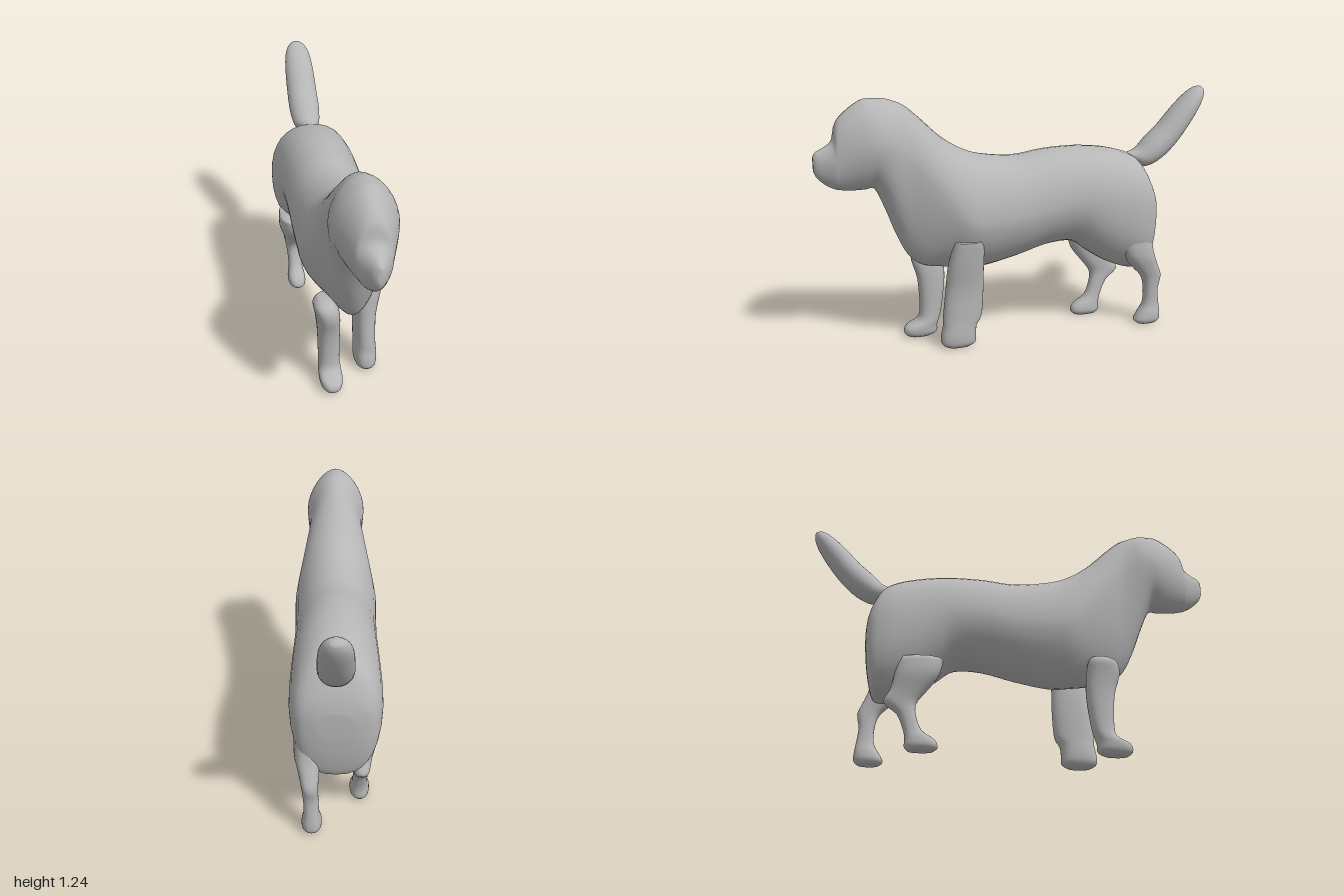
import * as THREE from 'three';

const SIDES = 32;
const coat = new THREE.MeshStandardMaterial({ color: 0xb6b6b6 });
coat.name = 'grey coat';

// Catmull-Rom refinement of a list of stations (arrays of numbers)
function refine(stations, steps) {
  const out = [], last = stations.length - 1;
  const at = (i) => stations[Math.min(last, Math.max(0, i))];
  for (let i = 0; i < last; i++) {
    for (let k = 0; k < steps; k++) {
      const t = k / steps;
      out.push(at(i).map((b, n) => {
        const a = at(i - 1)[n], c = at(i + 1)[n], d = at(i + 2)[n];
        return b + 0.5 * t * (c - a + t * (2 * a - 5 * b + 4 * c - d + t * (3 * (b - c) + d - a)));
      }));
    }
  }
  out.push(stations[last]);
  return out;
}

const power = (v, p) => Math.sign(v) * Math.pow(Math.abs(v), p);

// Skin a list of stations; ringPoint(station, sin, cos) gives a point of its ring
function loft(name, stations, ringPoint) {
  const pos = [], index = [];
  for (const s of stations) {
    for (let j = 0; j < SIDES; j++) {
      const a = (j / SIDES) * Math.PI * 2;
      pos.push(...ringPoint(s, Math.sin(a), Math.cos(a)));
    }
  }
  const rings = stations.length;
  for (let i = 0; i < rings - 1; i++) {
    for (let j = 0; j < SIDES; j++) {
      const a = i * SIDES + j, b = i * SIDES + (j + 1) % SIDES;
      index.push(a, b, a + SIDES, b, b + SIDES, a + SIDES);
    }
  }
  // end caps
  for (const first of [0, (rings - 1) * SIDES]) {
    const c = [0, 0, 0], hub = pos.length / 3;
    for (let j = 0; j < SIDES; j++) for (let n = 0; n < 3; n++) c[n] += pos[(first + j) * 3 + n] / SIDES;
    pos.push(...c);
    for (let j = 0; j < SIDES; j++) {
      const a = first + j, b = first + (j + 1) % SIDES;
      if (first === 0) index.push(hub, b, a);
      else index.push(hub, a, b);
    }
  }
  const g = new THREE.BufferGeometry();
  g.setAttribute('position', new THREE.Float32BufferAttribute(pos, 3));
  g.setIndex(index);
  g.computeVertexNormals();
  const mesh = new THREE.Mesh(g, coat);
  mesh.name = name;
  return mesh;
}

// Stations: z, top, widest height, bottom, half width, upper and lower power
// (a power above 1 pinches the flank into a ridge, below 1 makes it boxy)
const bodyRing = ([z, top, mid, bottom, w, pu, pl], s, c) => {
  const p = c > 0 ? pu : pl;
  const y = c > 0 ? mid + (top - mid) * power(c, p) : mid - (mid - bottom) * power(-c, p);
  return [w * power(s, p), y, z];
};

const head = [
  [1.0, 0.985, 0.95, 0.915, 0.01, 1, 1],
  [0.985, 1.005, 0.95, 0.882, 0.03, 1, 1],
  [0.945, 1.025, 0.95, 0.845, 0.055, 0.95, 1],
  [0.908, 1.058, 0.955, 0.825, 0.077, 0.95, 1],
  [0.89, 1.135, 0.97, 0.82, 0.085, 1, 1],
  [0.84, 1.19, 1.0, 0.812, 0.108, 1.05, 1.05],
  [0.77, 1.235, 1.02, 0.812, 0.136, 1.1, 1.08],
  [0.72, 1.24, 1.03, 0.81, 0.149, 1.1, 1.1],
];
const torso = [
  [0.67, 1.238, 1.025, 0.70, 0.149, 1.08, 1.15],
  [0.625, 1.225, 0.995, 0.58, 0.142, 1.05, 1.15],
  [0.57, 1.2, 0.945, 0.47, 0.14, 1.05, 1.12],
  [0.5, 1.14, 0.87, 0.41, 0.158, 1.05, 1.12],
  [0.4, 1.045, 0.76, 0.39, 0.188, 1.05, 1.15],
  [0.3, 0.98, 0.665, 0.38, 0.21, 1.04, 1.2],
  [0.2, 0.945, 0.65, 0.375, 0.208, 1.02, 1.18],
  [0.03, 0.925, 0.66, 0.41, 0.203, 1, 1.15],
  [-0.13, 0.945, 0.69, 0.455, 0.2, 1, 1.12],
  [-0.27, 0.95, 0.705, 0.46, 0.202, 0.98, 1.08],
  [-0.36, 0.945, 0.69, 0.4, 0.206, 0.95, 1],
  [-0.46, 0.932, 0.65, 0.335, 0.212, 0.92, 0.95],
  [-0.56, 0.905, 0.62, 0.295, 0.214, 0.88, 0.9],
  [-0.625, 0.865, 0.61, 0.288, 0.203, 0.85, 0.85],
  [-0.665, 0.79, 0.61, 0.31, 0.184, 0.8, 0.8],
  [-0.69, 0.72, 0.61, 0.41, 0.15, 0.8, 0.8],
  [-0.703, 0.66, 0.6, 0.52, 0.085, 0.85, 0.85],
];

// Leg stations from the sole up: y, x, z, half width, half depth
const legRing = ([y, x, z, w, d], s, c) => [x + w * power(s, 0.85), y, z + d * power(c, 0.85)];
const legs = {
  leftFrontLeg: [
    [0.0, 0.1, 0.35, 0.03, 0.055],
    [0.02, 0.1, 0.35, 0.05, 0.085],
    [0.06, 0.1, 0.35, 0.056, 0.087],
    [0.11, 0.1, 0.342, 0.054, 0.085],
    [0.16, 0.1, 0.328, 0.052, 0.097],
    [0.3, 0.102, 0.316, 0.054, 0.094],
    [0.42, 0.118, 0.312, 0.06, 0.088],
    [0.53, 0.145, 0.302, 0.05, 0.076],
    [0.555, 0.15, 0.3, 0.046, 0.07],
  ],
  rightFrontLeg: [
    [0.0, -0.1, 0.5, 0.03, 0.055],
    [0.02, -0.1, 0.495, 0.05, 0.083],
    [0.055, -0.1, 0.49, 0.056, 0.08],
    [0.09, -0.1, 0.455, 0.054, 0.055],
    [0.15, -0.1, 0.44, 0.051, 0.055],
    [0.3, -0.1, 0.435, 0.054, 0.068],
    [0.4, -0.108, 0.45, 0.058, 0.08],
    [0.46, -0.12, 0.45, 0.055, 0.072],
    [0.49, -0.115, 0.44, 0.035, 0.045],
  ],
  leftHindLeg: [
    [0.0, 0.115, -0.67, 0.03, 0.05],
    [0.02, 0.115, -0.67, 0.046, 0.07],
    [0.06, 0.115, -0.68, 0.046, 0.06],
    [0.11, 0.115, -0.69, 0.036, 0.043],
    [0.19, 0.118, -0.687, 0.036, 0.038],
    [0.26, 0.122, -0.683, 0.04, 0.054],
    [0.32, 0.126, -0.645, 0.05, 0.07],
    [0.4, 0.13, -0.6, 0.065, 0.085],
    [0.52, 0.125, -0.57, 0.065, 0.09],
  ],
  rightHindLeg: [
    [0.0, -0.115, -0.415, 0.03, 0.06],
    [0.02, -0.115, -0.413, 0.046, 0.078],
    [0.055, -0.115, -0.42, 0.046, 0.07],
    [0.1, -0.115, -0.455, 0.036, 0.043],
    [0.18, -0.118, -0.487, 0.036, 0.045],
    [0.235, -0.122, -0.518, 0.04, 0.078],
    [0.29, -0.126, -0.485, 0.048, 0.085],
    [0.37, -0.135, -0.445, 0.062, 0.105],
    [0.45, -0.13, -0.43, 0.066, 0.11],
  ],
};

// Tail stations: z, y, half width, half thickness, slope of the tail there
const tail = [
  [-0.57, 0.885, 0.012, 0.01, 0.3],
  [-0.61, 0.872, 0.04, 0.03, 0.3],
  [-0.665, 0.868, 0.068, 0.055, 0.4],
  [-0.735, 0.915, 0.08, 0.069, 0.65],
  [-0.81, 0.985, 0.08, 0.067, 0.8],
  [-0.88, 1.07, 0.077, 0.062, 0.85],
  [-0.94, 1.143, 0.068, 0.05, 0.8],
  [-0.977, 1.187, 0.048, 0.034, 0.75],
  [-0.995, 1.207, 0.022, 0.014, 0.75],
];
const tailRing = ([z, y, w, h, slope], s, c) =>
  [w * s, y + h * c * Math.cos(slope), z + h * c * Math.sin(slope)];

export function createModel() {
  const dog = new THREE.Group();
  dog.name = 'dog';
  dog.add(loft('headAndBody', refine([...head, ...torso], 4), bodyRing));
  for (const [name, stations] of Object.entries(legs)) {
    dog.add(loft(name, refine(stations, 3), legRing));
  }
  dog.add(loft('tail', refine(tail, 3), tailRing));
  return dog;
}
